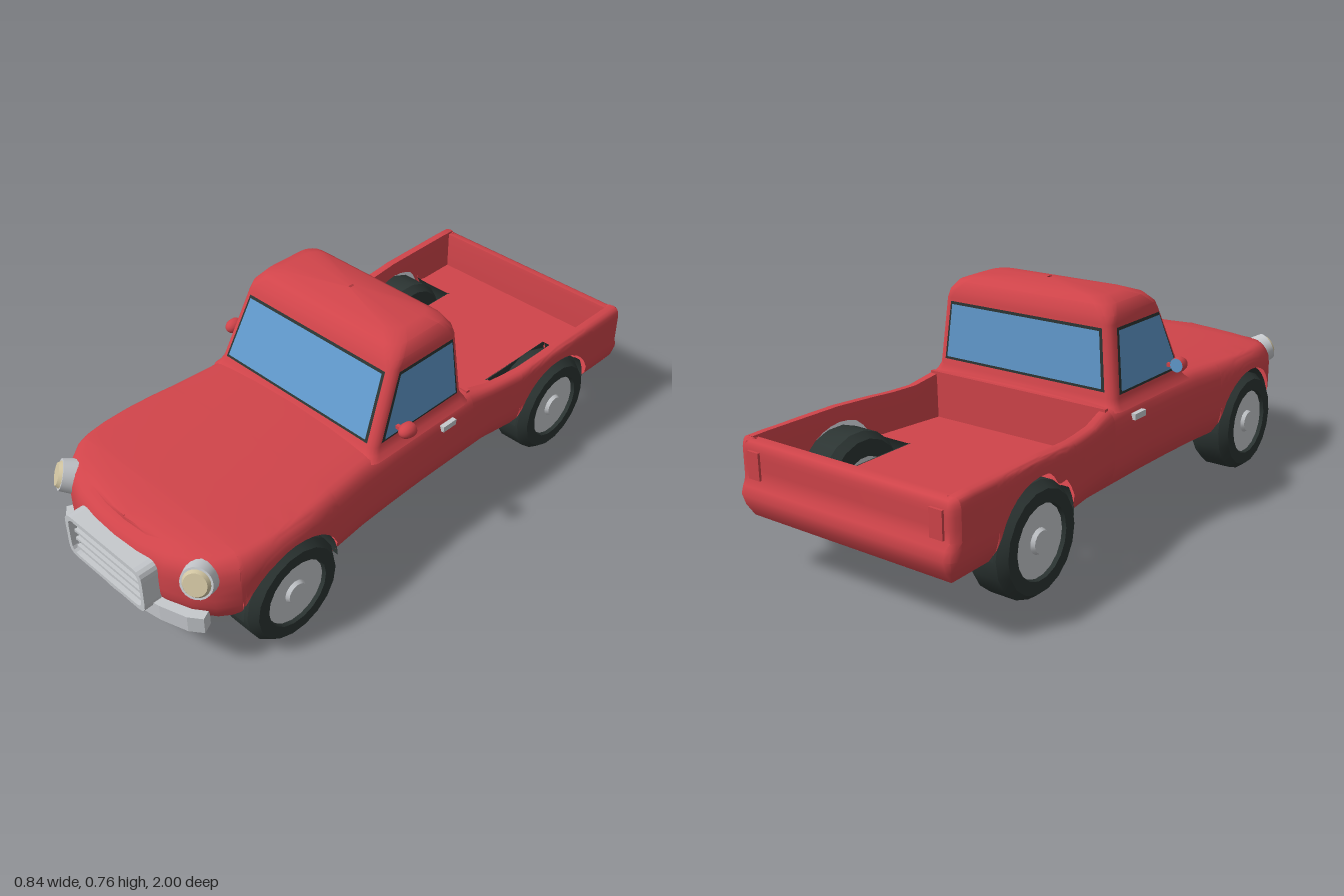
import * as THREE from 'three';
import { toCreasedNormals } from 'three/addons/utils/BufferGeometryUtils.js';

const mat = (name, color, side = THREE.FrontSide) => {
  const m = new THREE.MeshStandardMaterial({ color, side });
  m.name = name;
  return m;
};
const paint = mat('red paint', 0xd0444a, THREE.DoubleSide);
const rubber = mat('dark rubber', 0x2c3533, THREE.DoubleSide);
const glass = mat('blue glass', 0x6099cc);
const chrome = mat('pale metal', 0xc6c9cd);
const lens = mat('cream lens', 0xcfc3a0);

const lerp = THREE.MathUtils.lerp;
// piecewise-linear lookup; keys descend
function lookup(table, z) {
  if (z >= table[0][0]) return table[0][1];
  for (let i = 1; i < table.length; i++) {
    const [z0, v0] = table[i - 1], [z1, v1] = table[i];
    if (z >= z1) return lerp(v0, v1, (z - z0) / (z1 - z0));
  }
  return table[table.length - 1][1];
}

// skin over columns of points; columns run rightwards, points run upwards
function loft(columns, closed = false, crease = 0.7) {
  const rows = columns[0].length, n = columns.length, index = [];
  for (let i = 0; i < (closed ? n : n - 1); i++) {
    for (let j = 0; j < rows - 1; j++) {
      const a = i * rows + j, b = ((i + 1) % n) * rows + j;
      index.push(a, b, b + 1, a, b + 1, a + 1);
    }
  }
  const g = new THREE.BufferGeometry();
  g.setAttribute('position', new THREE.Float32BufferAttribute(columns.flat(2), 3));
  g.setIndex(index);
  return toCreasedNormals(g, crease);
}

const BOTTOM = 0.18, FLOOR = 0.28, ARCH = 0.19, AXLE = 0.62, WELL = 0.225;
const WIDTH = [[0.81, 0.385], [0.77, 0.4], [0.7, 0.41], [0.6, 0.412], [0.5, 0.405], [0.4, 0.392], [0.25, 0.38],
  [0, 0.375], [-0.3, 0.376], [-0.45, 0.397], [-0.62, 0.405], [-0.96, 0.408]];
const TOP = [[0.96, 0.397], [0.9, 0.41], [0.8, 0.42], [0.4, 0.43], [0.25, 0.435], [-0.19, 0.435],
  [-0.25, 0.41], [-0.4, 0.408], [-0.62, 0.42], [-0.95, 0.423], [-1, 0.415]];
const FILLET = [[-0.15, 0.05], [-0.25, 0.02]];
const LEVELS = [0, 0.15, 0.3, 0.42, 0.5, 0.65, 0.8, 0.88, 0.94, 0.98, 1];

const lowerEdge = z => {
  const d = Math.min(Math.abs(z - AXLE), Math.abs(z + AXLE));
  return BOTTOM + Math.sqrt(Math.max(0, ARCH * ARCH - d * d));
};
const archStations = c => Array.from({ length: 17 }, (_, k) => c + ARCH * Math.cos(k * Math.PI / 16));

// half plan outline from nose to tail, with outward normals
function planOutline() {
  const zs = [...archStations(AXLE), 0.3, 0.15, 0, -0.2, -0.3, -0.38, ...archStations(-AXLE), -0.9, -0.96];
  const p = [[0, 0.962], [0.1, 0.957], [0.2, 0.94], [0.28, 0.912], [0.34, 0.87],
    ...zs.map(z => [lookup(WIDTH, z), z]), [0.405, -0.975], [0.395, -0.992], [0.375, -1], [0, -1]];
  return p.map(([x, z], i) => {
    if (i === 0) return { x, z, nx: 0, nz: 1 };
    if (i === p.length - 1) return { x, z, nx: 0, nz: -1 };
    const dx = p[i + 1][0] - p[i - 1][0], dz = p[i + 1][1] - p[i - 1][1], l = Math.hypot(dx, dz);
    return { x, z, nx: -dz / l, nz: dx / l };
  });
}

// how far the body side leans in at height y
function inset(p, y) {
  const r = lookup(FILLET, p.z), h = r * 1.5, top = lookup(TOP, p.z);
  const low = Math.max(0, (0.26 - y) / 0.08), t = THREE.MathUtils.clamp((y - top + h) / h, 0, 1);
  const step = p.nz < -0.3 ? -p.nz * 0.022 * THREE.MathUtils.smoothstep(y, 0.27, 0.29) : 0;
  return 0.035 * low * low + r * (1 - Math.sqrt(1 - t * t)) + step;
}
const at = (p, d, y) => [Math.max(0, p.x - p.nx * d), y, p.z - p.nz * d];

function bodyColumn(p, isBed) {
  const top = lookup(TOP, p.z), low = lowerEdge(p.z);
  const column = LEVELS.map(f => {
    const y = lerp(low, top, f);
    return at(p, inset(p, y), y);
  });
  const d = inset(p, top);
  if (isBed) {
    column.push(at(p, d + 0.02, top), at(p, d + 0.022, top - 0.015), at(p, d + 0.024, Math.max(FLOOR, low)));
  } else {
    const [x, , z] = at(p, d, top);
    for (const u of [0.8, 0.5, 0]) column.push([x * u, top + 0.015 * (1 - u * u), z]);
  }
  return column;
}
const flip = column => column.map(([x, y, z]) => [-x, y, z]);

// flat panel from a half outline of [x, z], mirrored
function panel(half, y) {
  const pts = [...half, ...half.map(([x, z]) => [-x, z]).reverse()].map(q => new THREE.Vector2(...q));
  return new THREE.ShapeGeometry(new THREE.Shape(pts)).rotateX(Math.PI / 2).translate(0, y, 0);
}

// cab rings: y, half width, front z, back z, corner radius
const CAB = [[0.42, 0.372, 0.275, -0.195, 0.04], [0.435, 0.358, 0.255, -0.182, 0.03], [0.455, 0.349, 0.242, -0.172, 0.03],
  [0.68, 0.326, 0.135, -0.158, 0.03], [0.705, 0.322, 0.128, -0.155, 0.04], [0.735, 0.3, 0.1, -0.14, 0.05],
  [0.752, 0.255, 0.055, -0.115, 0.05], [0.765, 0.005, -0.01, -0.03, 0.004]];
const cabWall = (k, y) => lerp(CAB[2][k], CAB[3][k], (y - 0.455) / 0.225);

function cabGeometry() {
  const columns = [];
  for (let c = 0; c < 4; c++) for (let s = 0; s <= 4; s++) {
    const a = (c + s / 4) * Math.PI / 2;
    columns.push(CAB.map(([y, w, zf, zb, r]) => [
      (c < 2 ? w - r : r - w) + r * Math.sin(a), y, (c === 0 || c === 3 ? zf - r : zb + r) + r * Math.cos(a)]));
  }
  return loft(columns, true, 0.6);
}

function roundedRect(Type, w, h, r) {
  const s = new Type(), a = w - r, b = h - r;
  s.moveTo(-a, -h).lineTo(a, -h).quadraticCurveTo(w, -h, w, -b).lineTo(w, b).quadraticCurveTo(w, h, a, h);
  s.lineTo(-a, h).quadraticCurveTo(-w, h, -w, b).lineTo(-w, -b).quadraticCurveTo(-w, -h, -a, -h);
  return s;
}

export function createModel() {
  const model = new THREE.Group();
  const add = (name, geometry, material, x = 0, y = 0, z = 0, parent = model) => {
    const m = new THREE.Mesh(geometry, material);
    m.name = name;
    m.position.set(x, y, z);
    parent.add(m);
    return m;
  };
  const box = (name, w, h, d, material, x, y, z) => add(name, new THREE.BoxGeometry(w, h, d), material, x, y, z);

  // painted body: nose, hood and doors, then the load bed
  const outline = planOutline();
  const front = outline.filter(p => p.z >= -0.2).map(p => bodyColumn(p, false));
  const rear = outline.filter(p => p.z <= -0.2).map(p => bodyColumn(p, true));
  add('frontBody', loft([...front.slice(1).reverse().map(flip), ...front]), paint);
  add('bedSides', loft([...rear, ...rear.slice(0, -1).reverse().map(flip)]), paint);
  box('bedFrontWall', 0.69, 0.16, 0.015, paint, 0, 0.357, -0.205);
  add('underside', panel(outline.map(p => {
    const [x, , z] = at(p, 0.035, BOTTOM);
    return lowerEdge(p.z) > BOTTOM + 0.001 ? [WELL, p.z] : [x, z];
  }), BOTTOM), paint);
  add('bedFloor', panel([[0.35, -0.2], [0.36, -0.462], [WELL, -0.462], [WELL, -0.778], [0.365, -0.778], [0.365, -0.955]], FLOOR), paint);

  // cab with framed windows
  add('cab', cabGeometry(), paint);
  const pane = (name, corners) => {
    const [a, b, c, d] = corners.map(q => new THREE.Vector3(...q));
    const normal = b.clone().sub(a).cross(d.clone().sub(a)).normalize();
    const quad = (m, off, material, label) => {
      const u = m / a.distanceTo(b), v = m / a.distanceTo(d);
      const pt = (s, t) => a.clone().lerp(b, s).lerp(d.clone().lerp(c, s), t).addScaledVector(normal, off).toArray();
      add(label, loft([[pt(u, v), pt(u, 1 - v)], [pt(1 - u, v), pt(1 - u, 1 - v)]]), material);
    };
    quad(0, 0.002, rubber, name + 'Trim');
    quad(0.009, 0.005, glass, name);
  };
  const frontPoint = (x, y) => [x, y, cabWall(2, y)], backPoint = (x, y) => [x, y, cabWall(3, y)];
  const sidePoint = (y, z) => [cabWall(1, y), y, z];
  pane('windscreen', [frontPoint(-0.32, 0.465), frontPoint(0.32, 0.465), frontPoint(0.298, 0.67), frontPoint(-0.298, 0.67)]);
  pane('rearWindow', [backPoint(0.315, 0.475), backPoint(-0.315, 0.475), backPoint(-0.295, 0.67), backPoint(0.295, 0.67)]);
  const side = [sidePoint(0.465, 0.207), sidePoint(0.465, -0.142), sidePoint(0.67, -0.13), sidePoint(0.67, 0.112)];
  pane('leftWindow', side);
  const [a, b, c, d] = flip(side);
  pane('rightWindow', [b, a, d, c]);

  // grille
  const frame = roundedRect(THREE.Shape, 0.182, 0.08, 0.035);
  frame.holes.push(roundedRect(THREE.Path, 0.167, 0.066, 0.03));
  add('grilleFrame', new THREE.ExtrudeGeometry(frame, { depth: 0.06, bevelEnabled: false, curveSegments: 4 }), chrome, 0, 0.285, 0.94);
  box('grilleBack', 0.336, 0.134, 0.03, rubber, 0, 0.285, 0.96);
  for (let i = 0; i < 4; i++) box('grilleBar', 0.31, 0.01, 0.016, chrome, 0, 0.237 + i * 0.0325, 0.982);

  // curved front bumper
  const arc = [[0, 0.985], [0.1, 0.981], [0.2, 0.965], [0.29, 0.937], [0.33, 0.908]];
  const outer = [...arc.slice(1).reverse().map(([x, z]) => [-x, z]), ...arc];
  const plan = [...outer, ...outer.map(([x, z]) => [x * 0.95, z - 0.035]).reverse()].map(q => new THREE.Vector2(...q));
  add('frontBumper', new THREE.ExtrudeGeometry(new THREE.Shape(plan), { depth: 0.058, bevelEnabled: false })
    .rotateX(Math.PI / 2), chrome, 0, 0.229, 0);

  // wheel parts, turned about the x axis
  const tyreProfile = [[0.1, -0.0725], [0.155, -0.0725], [0.175, -0.045], [0.175, 0.045], [0.155, 0.0725], [0.115, 0.0725], [0.108, 0.05]];
  const tyre = toCreasedNormals(new THREE.LatheGeometry(tyreProfile.map(q => new THREE.Vector2(...q)), 18), 0.5);
  const tube = (r, from, to) => new THREE.CylinderGeometry(ARCH, ARCH, 0.16, 16, 1, true, from, to - from).rotateZ(Math.PI / 2);
  const cut = Math.asin((FLOOR - BOTTOM) / ARCH);

  for (const s of [1, -1]) {
    const sideName = s > 0 ? 'left' : 'right';
    for (const z of [AXLE, -AXLE]) {
      const wheel = new THREE.Group();
      wheel.name = sideName + (z > 0 ? 'FrontWheel' : 'RearWheel');
      wheel.position.set(s * 0.3375, 0.175, z);
      wheel.rotation.z = -s * Math.PI / 2;
      add('tyre', tyre, rubber, 0, 0, 0, wheel);
      add('rim', new THREE.CylinderGeometry(0.112, 0.112, 0.12, 24), chrome, 0, 0, 0, wheel);
      add('hubCap', new THREE.CylinderGeometry(0.034, 0.04, 0.012, 16), chrome, 0, 0.066, 0, wheel);
      model.add(wheel);
    }
    // wheel wells: closed in front, open to the bed behind
    add('frontWell', tube(ARCH, 0, Math.PI), rubber, s * 0.305, BOTTOM, AXLE);
    add('frontWellWall', new THREE.CircleGeometry(ARCH, 20, 0, Math.PI).rotateY(Math.PI / 2), rubber, s * WELL, BOTTOM, AXLE);
    add('rearWell', tube(ARCH, 0, cut), rubber, s * 0.305, BOTTOM, -AXLE);
    add('rearWell', tube(ARCH, Math.PI - cut, Math.PI), rubber, s * 0.305, BOTTOM, -AXLE);
    box('rearWellWall', 0.004, FLOOR - BOTTOM, 0.33, rubber, s * WELL, (FLOOR + BOTTOM) / 2, -AXLE);

    // headlamp, turned outwards and up
    const lamp = new THREE.Group();
    lamp.name = sideName + 'Headlamp';
    lamp.position.set(s * 0.306, 0.36, 0.89);
    lamp.rotation.set(-0.35, s * 0.55, 0, 'YXZ');
    add('lampRing', new THREE.CylinderGeometry(0.05, 0.057, 0.06, 20).rotateX(Math.PI / 2), chrome, 0, 0, 0, lamp);
    add('lampLens', new THREE.CylinderGeometry(0.036, 0.044, 0.012, 20).rotateX(Math.PI / 2), lens, 0, 0, 0.035, lamp);
    model.add(lamp);

    // door mirror
    const shell = new THREE.SphereGeometry(1, 12, 8, 0, Math.PI * 2, 0, Math.PI * 0.65).rotateX(Math.PI / 2);
    add('mirrorShell', shell, paint, s * 0.393, 0.502, 0.137).scale.set(0.026, 0.025, 0.035);
    add('mirrorGlass', new THREE.CircleGeometry(0.023, 12).rotateY(Math.PI), glass, s * 0.393, 0.502, 0.121);
    box('mirrorStalk', 0.06, 0.012, 0.012, paint, s * 0.362, 0.494, 0.14);

    box('doorHandle', 0.016, 0.02, 0.06, chrome, s * 0.377, 0.39, -0.073);
    box('tailLamp', 0.045, 0.085, 0.02, paint, s * 0.342, 0.345, -0.976);
  }
  return model;
}
